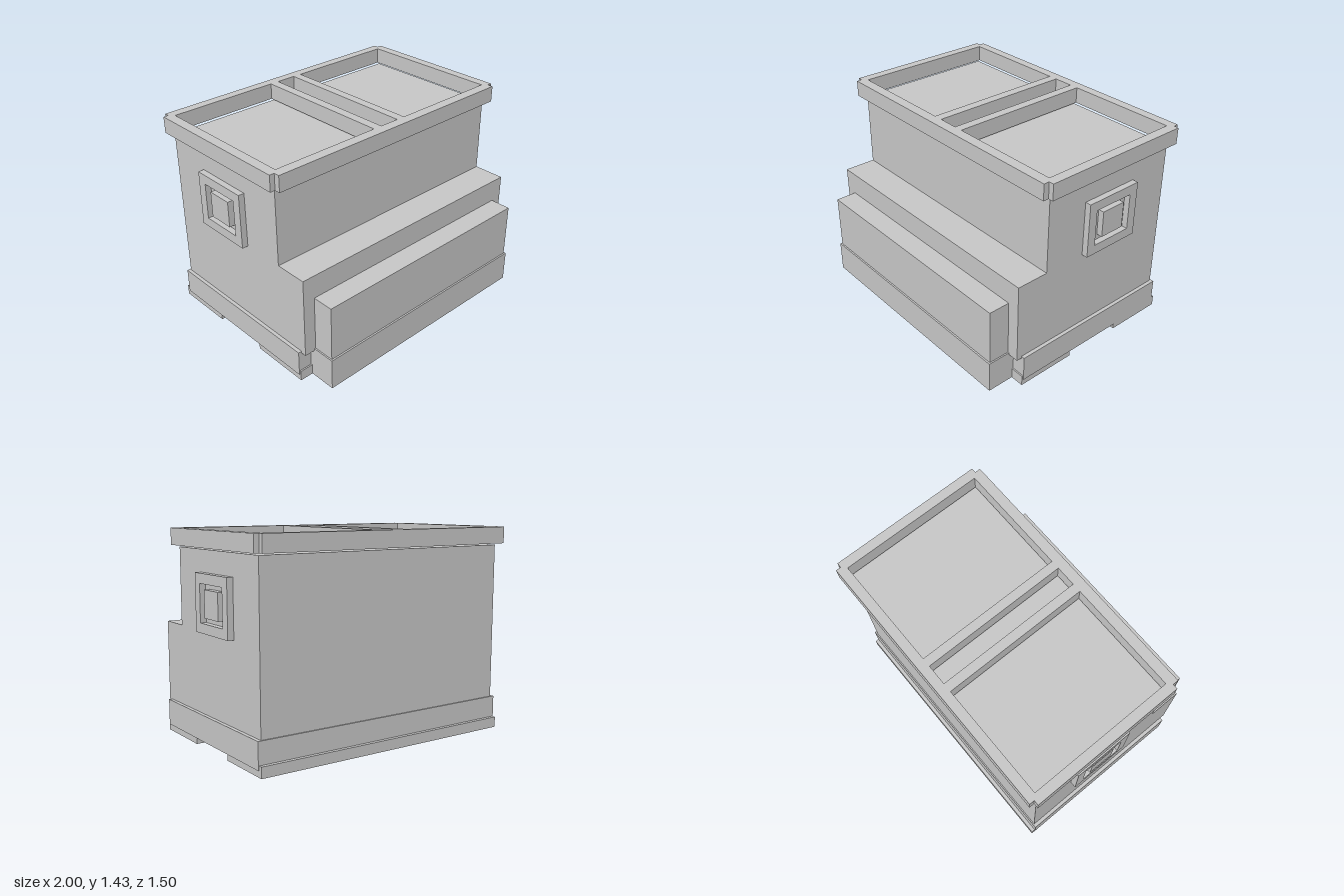
import * as THREE from 'three';

const grey = new THREE.MeshStandardMaterial({ color: 0xc7c7c7 });
grey.name = 'grey';

// Box given by its x, y and z limits
function box(name, [x0, x1], [y0, y1], [z0, z1]) {
  const geo = new THREE.BoxGeometry(x1 - x0, y1 - y0, z1 - z0);
  geo.translate((x0 + x1) / 2, (y0 + y1) / 2, (z0 + z1) / 2);
  const mesh = new THREE.Mesh(geo, grey);
  mesh.name = name;
  return mesh;
}

// Flat polygon with rectangular holes, extruded along its own z
function slab(name, points, holes, depth) {
  const shape = new THREE.Shape(points.map(p => new THREE.Vector2(...p)));
  for (const [a0, a1, b0, b1] of holes) {
    shape.holes.push(new THREE.Path([[a0, b0], [a0, b1], [a1, b1], [a1, b0]].map(p => new THREE.Vector2(...p))));
  }
  const geo = new THREE.ExtrudeGeometry(shape, { depth, bevelEnabled: false });
  const mesh = new THREE.Mesh(geo, grey);
  mesh.name = name;
  return mesh;
}

export function createModel() {
  const model = new THREE.Group();
  model.name = 'steppedCase';

  // Stepped body: side profile as (-z, y), extruded across the width
  const body = slab('body', [
    [-0.587, 0.207], [0.683, 0.207], [0.683, 1.304], [-0.358, 1.304], [-0.358, 0.775], [-0.587, 0.775],
  ], [], 1.9);
  body.rotation.y = Math.PI / 2;
  body.position.x = -0.95;
  model.add(body);

  // Base with front and back feet
  model.add(
    box('base', [-0.975, 0.975], [0.043, 0.222], [-0.692, 0.55]),
    box('frontFoot', [-0.97, 0.97], [0, 0.073], [0.13, 0.56]),
    box('backFoot', [-0.97, 0.97], [0, 0.073], [-0.718, -0.3]),
  );

  // Front step and its plinth
  model.add(
    box('frontPlinth', [-0.875, 0.875], [0, 0.222], [0.5, 0.75]),
    box('frontStep', [-0.865, 0.865], [0.2, 0.612], [0.55, 0.738]),
  );

  // Lid frame with notched corners and three openings, drawn as (x, -z)
  const lid = slab('lidFrame', [
    [-0.965, -0.425], [0.965, -0.425], [0.965, -0.385], [1, -0.385], [1, 0.715], [0.965, 0.715],
    [0.965, 0.75], [-0.965, 0.75], [-0.965, 0.715], [-1, 0.715], [-1, -0.385], [-0.965, -0.385],
  ], [
    [-0.932, -0.138, -0.353, 0.683],
    [-0.073, 0.072, -0.353, 0.683],
    [0.135, 0.932, -0.353, 0.683],
  ], 0.113);
  lid.rotation.x = -Math.PI / 2;
  lid.position.y = 1.317;
  model.add(lid);

  // Square frame with a centre block on each side
  for (const side of [-1, 1]) {
    const handle = new THREE.Group();
    handle.name = side > 0 ? 'leftHandle' : 'rightHandle';
    const frame = slab('handleFrame', [
      [-0.052, 0.773], [0.375, 0.773], [0.375, 1.157], [-0.052, 1.157],
    ], [[0.012, 0.31, 0.838, 1.091]], 0.042);
    frame.rotation.y = Math.PI / 2;
    frame.position.x = side > 0 ? 0.95 : -0.992;
    const x = side > 0 ? [0.94, 0.992] : [-0.992, -0.94];
    handle.add(frame, box('handleBlock', x, [0.875, 1.057], [-0.255, -0.072]));
    model.add(handle);
  }
  return model;
}
